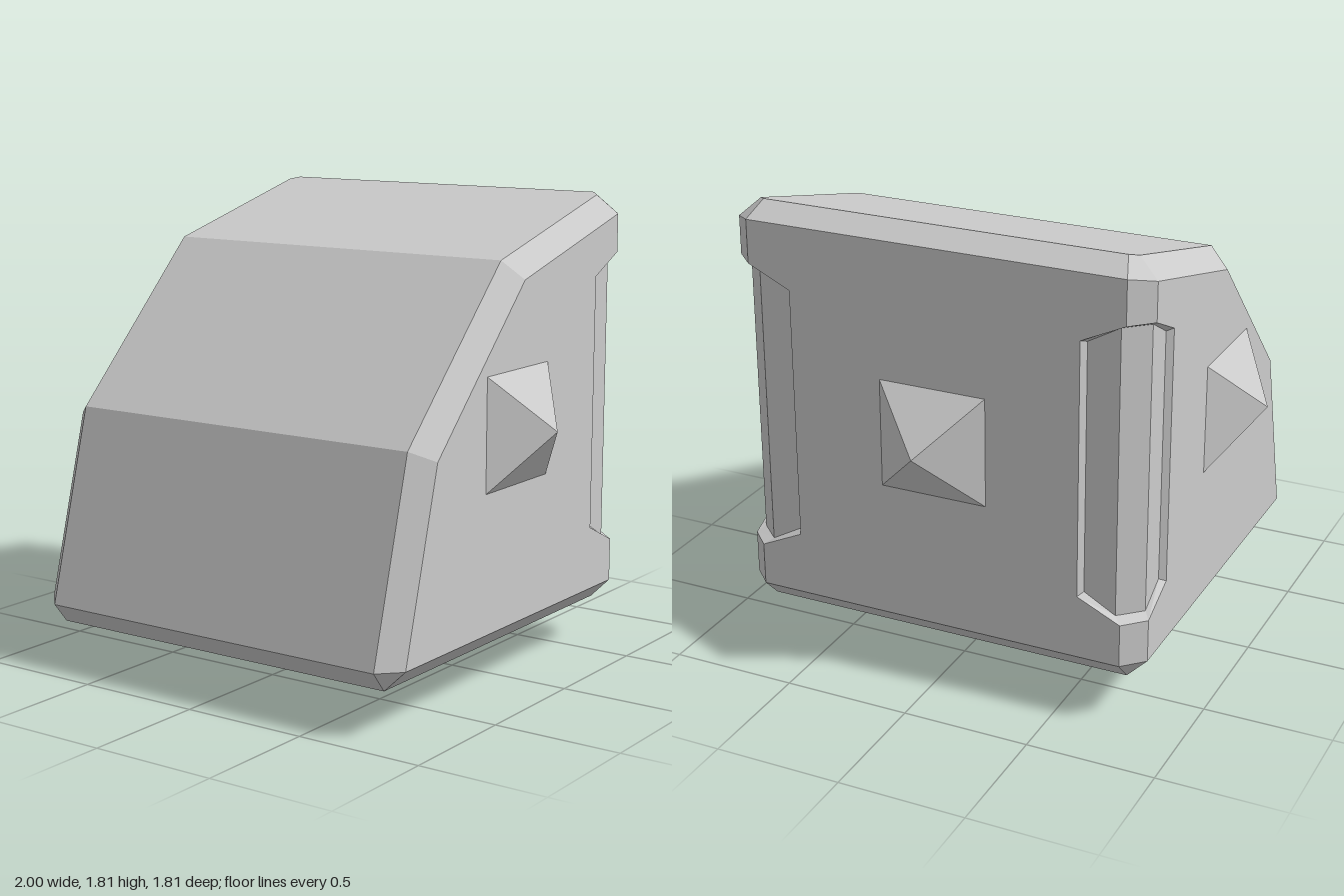
import * as THREE from 'three';

const V = (x, y, z) => new THREE.Vector3(x, y, z);
const CENTRE = V(0, 0.9, 0);

// Collects flat polygons; every triangle is turned to face along the hint
function faceBuilder() {
  const pos = [];
  const add = (pts, hint) => {
    const mid = pts.reduce((a, p) => a.add(p), V(0, 0, 0)).divideScalar(pts.length);
    const out = hint || mid.sub(CENTRE);
    const n = V(0, 0, 0);
    pts.forEach((p, i) => n.add(p.clone().cross(pts[(i + 1) % pts.length])));
    const a = [Math.abs(n.x), Math.abs(n.y), Math.abs(n.z)];
    const k = a.indexOf(Math.max(...a));
    const flat = pts.map((p) => (k === 0 ? new THREE.Vector2(p.y, p.z)
      : k === 1 ? new THREE.Vector2(p.z, p.x) : new THREE.Vector2(p.x, p.y)));
    for (const [i, j, l] of THREE.ShapeUtils.triangulateShape(flat, [])) {
      const [A, B, C] = [pts[i], pts[j], pts[l]];
      const m = B.clone().sub(A).cross(C.clone().sub(A));
      const tri = m.dot(out) < 0 ? [A, C, B] : [A, B, C];
      tri.forEach((p) => pos.push(p.x, p.y, p.z));
    }
  };
  const build = () => {
    const g = new THREE.BufferGeometry();
    g.setAttribute('position', new THREE.Float32BufferAttribute(pos, 3));
    g.computeVertexNormals();
    return g;
  };
  return { add, build };
}

export function createModel() {
  const model = new THREE.Group();
  model.name = 'bevelledBlock';
  const mat = new THREE.MeshStandardMaterial({ color: 0xcccccc, flatShading: true });
  const body = faceBuilder();
  const recess = faceBuilder();

  // Outer profile at x = 0.75 and bevelled side profile at x = 0.83, as [z, y]
  const outer = [[0.905, 0.25], [0.7, 1], [0.09, 1.61], [-0.63, 1.802],
    [-0.74, 1.75], [-0.74, 0.25], [-0.66, 0.17], [0.84, 0.17]];
  const inner = [[0.825, 0.25], [0.63, 0.96], [0.05, 1.54], [-0.66, 1.73], [-0.66, 0.25]];
  const O = (i, s) => V(0.75 * s, outer[i][1], outer[i][0]);
  const I = (i, s) => V(0.83 * s, inner[i][1], inner[i][0]);
  const T = (s) => V(0.72 * s, 1.81, -0.66);

  // Recess loops around the rear vertical edge: rim on the surface, then floor
  const rim = (s) => [[0.83, 0.5, -0.49], [0.83, 1.5, -0.49], [0.83, 1.58, -0.66], [0.75, 1.58, -0.74],
    [0.58, 1.5, -0.74], [0.58, 0.5, -0.74], [0.75, 0.42, -0.74], [0.83, 0.42, -0.66]]
    .map(([x, y, z]) => V(x * s, y, z));
  const floor = (s) => [[0.805, 0.51, -0.505], [0.805, 1.49, -0.505], [0.805, 1.56, -0.63], [0.72, 1.56, -0.71],
    [0.595, 1.49, -0.71], [0.595, 0.51, -0.71], [0.72, 0.44, -0.71], [0.805, 0.44, -0.63]]
    .map(([x, y, z]) => V(x * s, y, z));

  // Faces spanning the width: front slopes, bottom bevels and base
  for (const [a, b] of [[0, 1], [1, 2], [5, 6], [6, 7], [7, 0]]) {
    body.add([O(a, -1), O(a, 1), O(b, 1), O(b, -1)]);
  }
  // Top slope and upper rear bevel
  body.add([O(2, -1), O(2, 1), O(3, 1), T(1), T(-1), O(3, -1)]);
  body.add([T(-1), T(1), O(4, 1), O(4, -1)]);
  // Back face, notched by both recesses
  const R = rim(1), L = rim(-1);
  body.add([O(5, 1), R[6], R[5], R[4], R[3], O(4, 1),
    O(4, -1), L[3], L[4], L[5], L[6], O(5, -1)], V(0, 0, -1));

  for (const s of [1, -1]) {
    const r = rim(s), f = floor(s);
    // Side face with its notch
    body.add([I(0, s), I(1, s), I(2, s), I(3, s), r[2], r[1], r[0], r[7], I(4, s)], V(s, 0, 0));
    // Side bevels and corner facets
    for (const i of [0, 1, 2]) body.add([O(i, s), O(i + 1, s), I(i + 1, s), I(i, s)]);
    body.add([O(6, s), O(7, s), I(0, s), I(4, s)]);
    body.add([O(7, s), O(0, s), I(0, s)]);
    body.add([O(5, s), O(6, s), I(4, s)]);
    body.add([O(3, s), T(s), I(3, s)]);
    body.add([T(s), O(4, s), I(3, s)]);
    // Rear vertical bevel above and below the recess
    body.add([O(4, s), I(3, s), r[2], r[3]], V(s, 0, -1));
    body.add([O(5, s), I(4, s), r[7], r[6]], V(s, 0, -1));
    // Recess walls and three-sided floor
    const out = V(s, 0, -1);
    r.forEach((p, i) => recess.add([p, r[(i + 1) % 8], f[(i + 1) % 8], f[i]], out));
    recess.add([f[0], f[1], f[2], f[7]], out);
    recess.add([f[2], f[3], f[6], f[7]], out);
    recess.add([f[3], f[4], f[5], f[6]], out);
  }

  const addMesh = (name, geo) => {
    const m = new THREE.Mesh(geo, mat);
    m.name = name;
    model.add(m);
    return m;
  };
  addMesh('body', body.build());
  addMesh('rearEdgeRecesses', recess.build());

  // Square pyramid studs on the sides, back and base
  const stud = new THREE.ConeGeometry(0.216 * Math.SQRT2, 0.17, 4, 1, true);
  stud.rotateY(Math.PI / 4).translate(0, 0.085, 0);
  const studs = [
    ['leftStud', V(0.83, 1, 0.09), V(1, 0, 0)],
    ['rightStud', V(-0.83, 1, 0.09), V(-1, 0, 0)],
    ['backStud', V(0, 1, -0.738), V(0, 0, -1)],
    ['bottomStud', V(0, 0.17, 0.09), V(0, -1, 0)],
  ];
  for (const [name, at, dir] of studs) {
    const m = addMesh(name, stud);
    m.position.copy(at);
    m.quaternion.setFromUnitVectors(V(0, 1, 0), dir);
  }
  return model;
}
